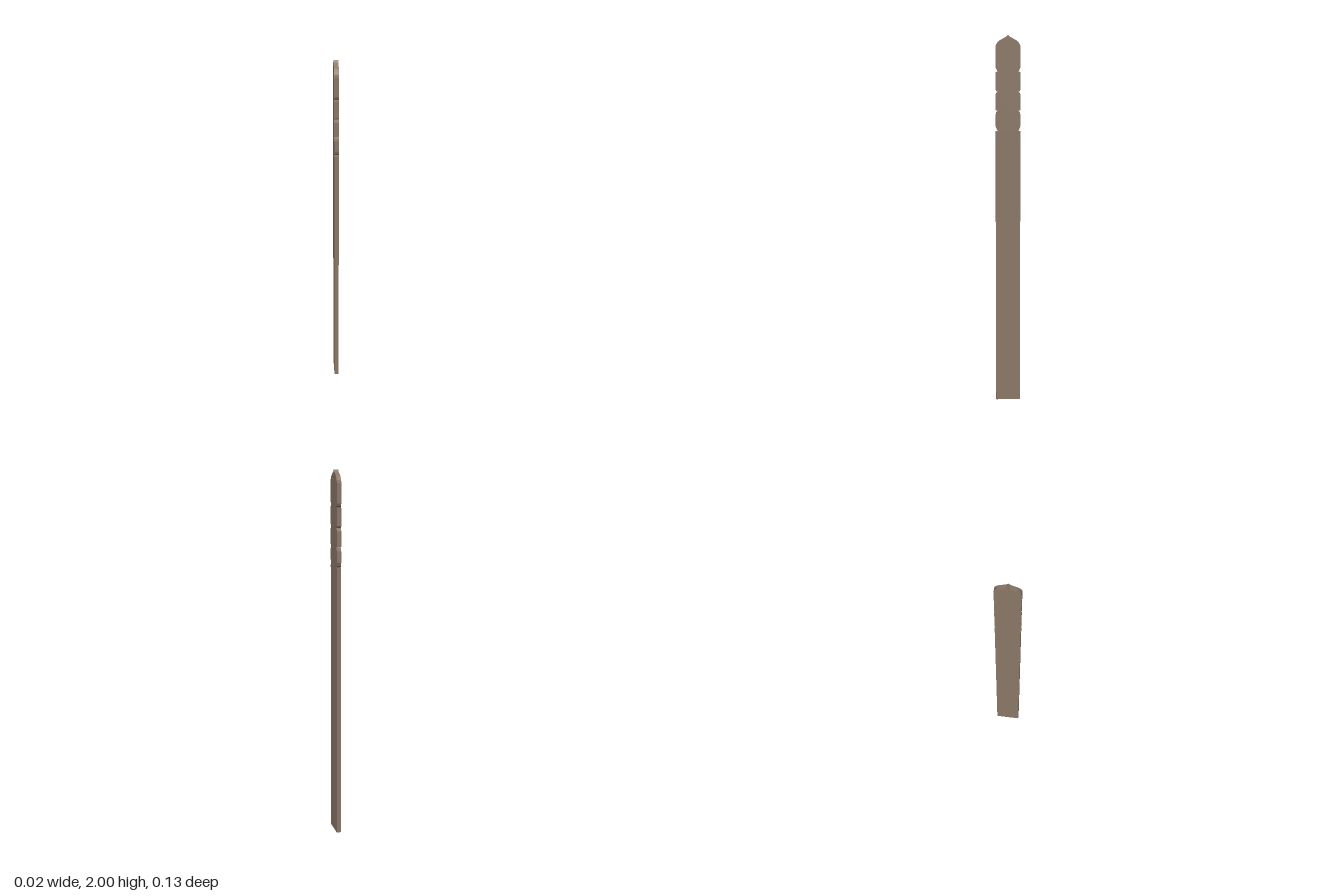
import * as THREE from 'three';

const THICKNESS = 0.024;
const HALF = 0.066;
const NECK = 0.054; // half width inside the notches

export function createModel() {
  const group = new THREE.Group();
  group.name = 'carvedPost';
  const wood = new THREE.MeshStandardMaterial({ color: 0x8b7866 });
  wood.name = 'weatheredWood';

  // Half outline from foot to tip: [half width, height]
  const side = [
    [HALF, 0],
    [HALF, 1.49], [NECK, 1.492],                                 // lowest notch
    [0.06, 1.5], [HALF, 1.518],
    [HALF, 1.578], [0.062, 1.594], [NECK, 1.6], [HALF, 1.603],   // second notch
    [HALF, 1.685], [0.062, 1.696], [NECK, 1.7],                  // third notch
    [0.062, 1.704], [HALF, 1.712],
    [HALF, 1.805], [NECK, 1.808],                                // top notch
    [0.06, 1.815], [HALF, 1.83],
    [HALF, 1.935], [0.063, 1.949], [0.055, 1.961], [0.043, 1.972], // pointed ogee head
    [0.026, 1.981], [0.011, 1.989], [0, 2],
  ];
  const mirrored = side.slice(0, -1).reverse().map(([w, y]) => [-w, y]);
  const shape = new THREE.Shape([...side, ...mirrored].map(([w, y]) => new THREE.Vector2(w, y)));

  // Flat board, turned so its broad faces look along x
  const board = new THREE.ExtrudeGeometry(shape, { depth: THICKNESS, bevelEnabled: false });
  board.translate(0, 0, -THICKNESS / 2);
  board.rotateY(Math.PI / 2);

  const post = new THREE.Mesh(board, wood);
  post.name = 'notchedBoard';
  group.add(post);
  return group;
}
